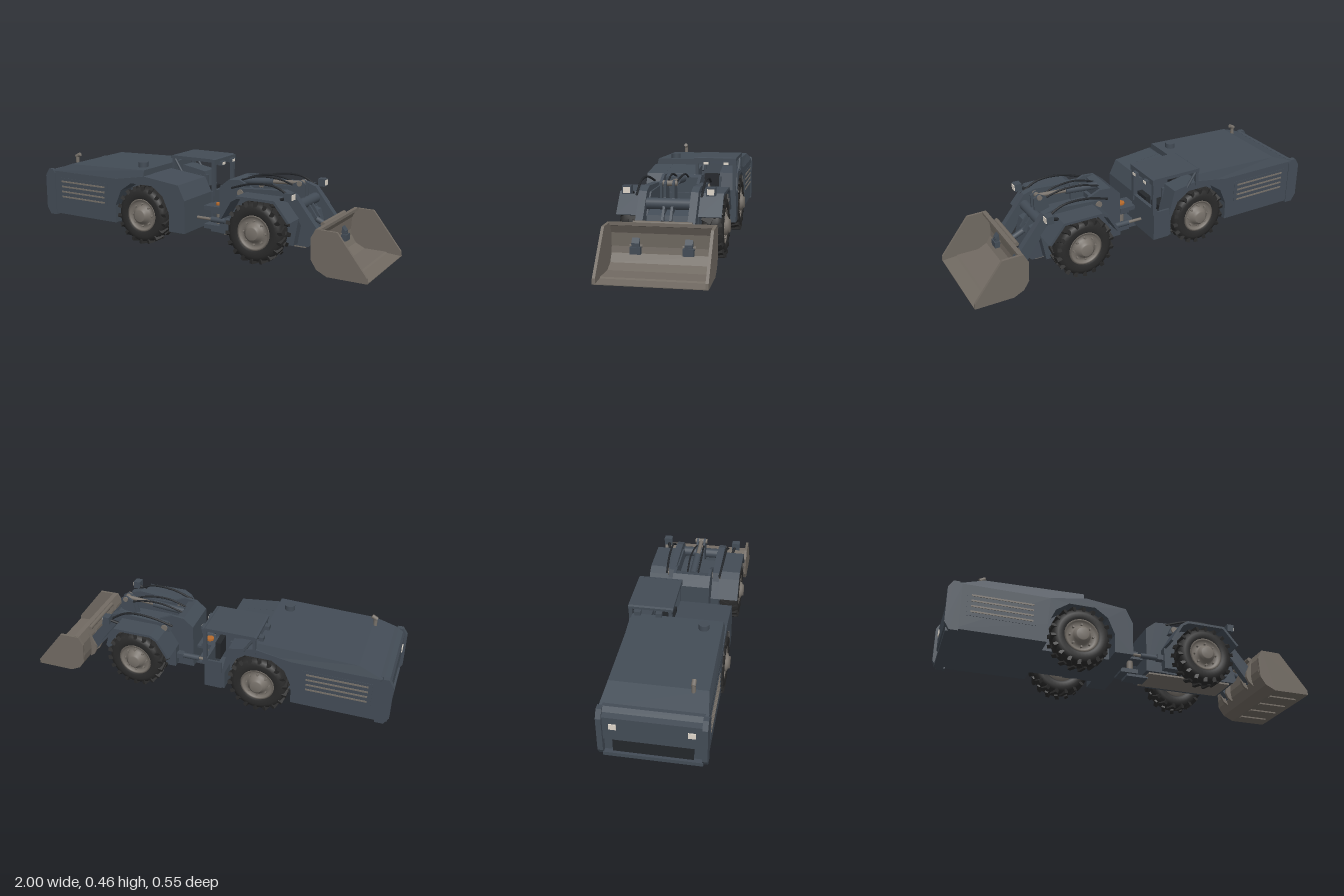
import * as THREE from 'three';

const mat = (color) => new THREE.MeshStandardMaterial({ color, side: THREE.DoubleSide });
const M = {
  body: mat(0x434c56), dark: mat(0x24272b), tire: mat(0x2a2a2a), steel: mat(0x77716a),
  bucket: mat(0x716a62), orange: mat(0xb86b2c), lamp: mat(0xe0d8cc),
};

export function createModel() {
  const root = new THREE.Group();
  const add = (name, geo, m, parent = root) => {
    const mesh = new THREE.Mesh(geo, m);
    mesh.name = name;
    parent.add(mesh);
    return mesh;
  };
  // box given by its limits
  const box = (name, m, x0, x1, y0, y1, z0, z1, parent) => {
    const b = add(name, new THREE.BoxGeometry(x1 - x0, y1 - y0, z1 - z0), m, parent);
    b.position.set((x0 + x1) / 2, (y0 + y1) / 2, (z0 + z1) / 2);
    return b;
  };
  // side profile in x,y extruded from z0 to z1
  const plate = (name, m, pts, z0, z1, parent) => {
    const shape = new THREE.Shape(pts.map(([x, y]) => new THREE.Vector2(x, y)));
    const g = new THREE.ExtrudeGeometry(shape, { depth: z1 - z0, bevelEnabled: false });
    return add(name, g.translate(0, 0, z0), m, parent);
  };
  // round bar between two points
  const bar = (name, m, a, b, r, sides = 14, parent = root) => {
    const A = new THREE.Vector3(...a), B = new THREE.Vector3(...b), d = B.clone().sub(A);
    const c = add(name, new THREE.CylinderGeometry(r, r, d.length(), sides), m, parent);
    c.position.copy(A).add(B).multiplyScalar(0.5);
    c.quaternion.setFromUnitVectors(new THREE.Vector3(0, 1, 0), d.normalize());
    return c;
  };
  const hose = (name, pts, r = 0.005) => add(name, new THREE.TubeGeometry(
    new THREE.CatmullRomCurve3(pts.map((p) => new THREE.Vector3(...p))), 20, r, 6), M.dark);

  // ---- rear body ----
  const arch = [[-0.49, 0.1], [-0.49, 0.2], [-0.45, 0.29], [-0.38, 0.338], [-0.24, 0.338], [-0.17, 0.29], [-0.13, 0.2], [-0.13, 0.1]];
  const tail = [[-0.29, 0.385], [-0.48, 0.352], [-0.95, 0.352]];
  plate('engineSideLeft', M.body, [[-0.95, 0.1], ...arch, [-0.03, 0.1], [-0.03, 0.28], [-0.07, 0.36], ...tail], 0.15, 0.252);
  plate('engineSideRight', M.body, [[-0.95, 0.1], ...arch, [-0.115, 0.1], [-0.115, 0.21], [-0.15, 0.36], ...tail], -0.252, -0.15);
  box('engineCore', M.body, -0.95, -0.3, 0.1, 0.352, -0.15, 0.15);
  plate('frontTank', M.body, [[-0.3, 0.1], [-0.03, 0.1], [-0.03, 0.28], [-0.07, 0.36], [-0.3, 0.385]], -0.025, 0.15);
  // hood: box tapered at the sides and sloped to the rear
  const hood = new THREE.BoxGeometry(1, 1, 1).toNonIndexed();
  const hp = hood.attributes.position;
  for (let i = 0; i < hp.count; i++) {
    const f = hp.getX(i) > 0, t = hp.getY(i) > 0, s = Math.sign(hp.getZ(i));
    hp.setXYZ(i, f ? -0.3 : t ? -0.82 : -0.955, t ? (f ? 0.416 : 0.4) : 0.35, s * (t ? 0.236 : 0.252));
  }
  hood.computeVertexNormals();
  add('hood', hood, M.body);
  // rear end
  plate('rearPanel', M.body, [[-0.93, 0.1], [-0.965, 0.1], [-0.965, 0.17], [-0.985, 0.19], [-0.985, 0.32], [-0.975, 0.345], [-0.95, 0.36], [-0.93, 0.36]], -0.235, 0.235);
  box('rearGrille', M.dark, -0.975, -0.96, 0.11, 0.18, -0.19, 0.19);
  box('rearSill', M.body, -0.99, -0.94, 0.09, 0.11, -0.235, 0.235);
  for (const s of [-1, 1]) {
    const z = (a, b) => [Math.min(s * a, s * b), Math.max(s * a, s * b)];
    plate('rearCornerGuard', M.body, [[-0.93, 0.09], [-0.975, 0.09], [-1, 0.13], [-1, 0.32], [-0.975, 0.36], [-0.945, 0.36], [-0.93, 0.34]], ...z(0.23, 0.256));
    box('rearLamp', M.lamp, -0.99, -0.984, 0.255, 0.285, ...z(0.165, 0.2));
    box('louverPanel', M.body, -0.9, -0.545, 0.18, 0.315, ...z(0.25, 0.254));
    for (let i = 0; i < 4; i++) box('louver', M.steel, -0.88, -0.565, 0.2 + i * 0.03, 0.209 + i * 0.03, ...z(0.25, 0.257));
  }
  // exhaust and air intake
  bar('exhaustPipe', M.steel, [-0.83, 0.39, 0.165], [-0.83, 0.435, 0.165], 0.01);
  bar('exhaustOutlet', M.steel, [-0.838, 0.433, 0.165], [-0.81, 0.448, 0.165], 0.011);
  bar('airIntake', M.body, [-0.37, 0.405, 0.145], [-0.37, 0.442, 0.145], 0.027, 20);

  // ---- operator cab, on the right side ----
  const cab = new THREE.Group();
  cab.name = 'cab';
  root.add(cab);
  box('cabFloor', M.body, -0.3, -0.025, 0.1, 0.135, -0.15, -0.025, cab);
  box('cabStep', M.body, -0.115, -0.025, 0.1, 0.135, -0.258, -0.15, cab);
  box('cabFrontWall', M.body, -0.04, -0.02, 0.1, 0.28, -0.258, -0.025, cab);
  box('cabDoor', M.body, -0.115, -0.02, 0.1, 0.265, -0.258, -0.246, cab);
  box('cabInnerWall', M.body, -0.3, -0.13, 0.1, 0.34, -0.16, -0.148, cab);
  box('seat', M.dark, -0.24, -0.13, 0.135, 0.22, -0.14, -0.045, cab);
  box('seatBack', M.dark, -0.27, -0.235, 0.2, 0.34, -0.135, -0.05, cab);
  box('console', M.dark, -0.07, -0.04, 0.2, 0.3, -0.14, -0.05, cab);
  plate('canopy', M.body, [[-0.3, 0.443], [-0.015, 0.443], [-0.015, 0.456], [-0.025, 0.461], [-0.29, 0.461], [-0.3, 0.456]], -0.258, -0.025, cab);
  box('canopyBeam', M.body, -0.028, -0.01, 0.428, 0.458, -0.258, -0.025, cab);
  for (const z of [-0.248, -0.041]) {
    box('frontPost', M.body, -0.033, -0.013, 0.25, 0.45, z - 0.009, z + 0.009, cab);
    box('rearPost', M.body, -0.296, -0.28, 0.36, 0.45, z - 0.009, z + 0.009, cab);
    bar('brace', M.body, [-0.285, 0.445, z], [-0.23, 0.36, z], 0.007, 8, cab);
  }
  for (const z of [-0.095, -0.205]) {
    box('canopyLampHousing', M.body, -0.02, 0.008, 0.421, 0.443, z - 0.018, z + 0.018, cab);
    box('canopyLamp', M.lamp, 0.007, 0.011, 0.425, 0.439, z - 0.014, z + 0.014, cab);
    box('rearCanopyLamp', M.body, -0.325, -0.3, 0.421, 0.443, z - 0.016, z + 0.016, cab);
  }

  // ---- articulation joint ----
  for (const y of [0.1, 0.205]) {
    box('hingePlate', M.body, -0.03, 0.07, y - 0.012, y + 0.012, -0.055, 0.055);
    box('hingeFork', M.body, 0.01, 0.13, y - 0.028, y - 0.014, -0.045, 0.045);
  }
  bar('hingePin', M.steel, [0.04, 0.085, 0], [0.04, 0.22, 0], 0.018);
  bar('hingeCapTop', M.orange, [0.04, 0.217, 0], [0.04, 0.228, 0], 0.022);
  bar('hingeCapBottom', M.orange, [0.04, 0.074, 0], [0.04, 0.09, 0], 0.022);

  // ---- front frame ----
  plate('frontFrame', M.body, [[0.1, 0.09], [0.62, 0.09], [0.64, 0.11], [0.6, 0.25], [0.52, 0.27], [0.22, 0.27], [0.22, 0.3], [0.1, 0.3]], -0.1, 0.1);
  box('skidPlate', M.steel, 0.12, 0.6, 0.08, 0.09, -0.09, 0.09);
  for (const s of [-1, 1]) plate('towerSide', M.body, [[0.1, 0.09], [0.22, 0.09], [0.3, 0.26], [0.3, 0.36], [0.22, 0.395], [0.155, 0.39], [0.1, 0.345]], s * 0.0975 - 0.0075, s * 0.0975 + 0.0075);
  plate('towerCover', M.body, [[0.1, 0.28], [0.2, 0.28], [0.2, 0.38], [0.155, 0.39], [0.1, 0.345]], -0.09, 0.09);
  for (const s of [-1, 1]) {
    const z = (a, b) => [Math.min(s * a, s * b), Math.max(s * a, s * b)];
    // fender sheet and its inner wall
    const rim = [[0.185, 0.22], [0.245, 0.322], [0.285, 0.347], [0.5, 0.347], [0.585, 0.245]];
    const inner = [[0.573, 0.24], [0.494, 0.334], [0.29, 0.334], [0.256, 0.314], [0.198, 0.215]];
    plate('frontFender', M.body, [...rim, ...inner], ...z(0.148, 0.258));
    plate('fenderWall', M.body, [[0.19, 0.1], ...rim, [0.56, 0.1]], ...z(0.1, 0.15));
    // work lamp on its post
    bar('lampPost', M.dark, [0.5, 0.34, s * 0.19], [0.55, 0.36, s * 0.2], 0.008, 8);
    box('lampHousing', M.body, 0.54, 0.578, 0.345, 0.386, ...z(0.183, 0.227));
    box('lampFace', M.lamp, 0.577, 0.582, 0.351, 0.379, ...z(0.188, 0.222));
    // steering cylinder
    bar('steeringCylinder', M.body, [0.06, 0.165, s * 0.12], [0.19, 0.165, s * 0.12], 0.015);
    bar('steeringRod', M.steel, [-0.04, 0.165, s * 0.12], [0.07, 0.165, s * 0.12], 0.008);
    box('steeringLug', M.body, 0.15, 0.185, 0.15, 0.18, ...z(0.095, 0.14));
    // lift arm with pivots and hoist cylinder
    plate('liftArm', M.body, [[0.22, 0.315], [0.24, 0.36], [0.5, 0.378], [0.56, 0.36], [0.63, 0.27], [0.735, 0.14], [0.735, 0.09], [0.68, 0.1], [0.57, 0.25], [0.5, 0.32]], ...z(0.108, 0.145));
    bar('armPivot', M.steel, [0.25, 0.338, s * 0.09], [0.25, 0.338, s * 0.152], 0.018);
    bar('bucketPin', M.steel, [0.695, 0.122, s * 0.095], [0.695, 0.122, s * 0.158], 0.022);
    bar('hoistCylinder', M.body, [0.3, 0.18, s * 0.125], [0.46, 0.285, s * 0.125], 0.02);
    bar('hoistRod', M.steel, [0.45, 0.28, s * 0.125], [0.55, 0.33, s * 0.125], 0.011);
    hose('armHose', [[0.2, 0.36, s * 0.15], [0.32, 0.395, s * 0.158], [0.46, 0.395, s * 0.16], [0.56, 0.34, s * 0.16]], 0.006);
    hose('tiltHose', [[0.19, 0.38, s * 0.03], [0.3, 0.41, s * 0.032], [0.42, 0.405, s * 0.025], [0.5, 0.38, s * 0.02]]);
    plate('tiltLever', M.body, [[0.47, 0.3], [0.49, 0.39], [0.53, 0.412], [0.56, 0.395], [0.56, 0.33], [0.63, 0.23], [0.6, 0.2], [0.53, 0.28]], ...z(0.014, 0.026));
    // bucket ears
    plate('bucketEar', M.bucket, [[0.71, 0.06], [0.685, 0.08], [0.67, 0.11], [0.675, 0.14], [0.69, 0.17], [0.71, 0.22]], ...z(0.15, 0.165));
    plate('bucketEar', M.bucket, [[0.71, 0.06], [0.685, 0.08], [0.67, 0.11], [0.675, 0.14], [0.69, 0.17], [0.71, 0.22]], ...z(0.088, 0.103));
    box('armEnd', M.body, 0.7, 0.745, 0.088, 0.122, ...z(0.1, 0.152));
    box('armEndCap', M.body, 0.7, 0.738, 0.122, 0.132, ...z(0.11, 0.142));
  }
  bar('armCrossTube', M.body, [0.56, 0.3, -0.11], [0.56, 0.3, 0.11], 0.028, 18);
  bar('tiltCylinder', M.body, [0.19, 0.37, 0], [0.37, 0.385, 0], 0.02);
  bar('tiltRod', M.steel, [0.36, 0.384, 0], [0.53, 0.396, 0], 0.011);
  bar('tiltPin', M.steel, [0.53, 0.396, -0.035], [0.53, 0.396, 0.035], 0.014);
  bar('tiltLink', M.body, [0.61, 0.22, 0], [0.7, 0.18, 0], 0.015);

  // ---- bucket ----
  plate('bucketShell', M.bucket, [[0.995, 0.008], [0.79, 0.008], [0.735, 0.035], [0.705, 0.08], [0.7, 0.12], [0.705, 0.19], [0.725, 0.238], [0.75, 0.241],
    [0.75, 0.226], [0.737, 0.222], [0.718, 0.185], [0.714, 0.12], [0.719, 0.088], [0.745, 0.047], [0.795, 0.022], [0.91, 0.022], [0.92, 0.016], [0.995, 0.011]], -0.25, 0.25);
  for (const s of [-1, 1]) {
    plate('bucketSide', M.bucket, [[0.995, 0.008], [0.79, 0.008], [0.735, 0.035], [0.705, 0.08], [0.7, 0.19], [0.725, 0.238], [0.835, 0.236], [0.992, 0.035]], s * 0.252 - 0.007, s * 0.252 + 0.007);
    for (const z of [0.055, 0.17]) box('wearStrip', M.bucket, 0.8, 0.96, 0, 0.01, s * z - 0.013, s * z + 0.013);
  }
  bar('bucketTopTube', M.bucket, [0.712, 0.232, -0.14], [0.712, 0.232, 0.14], 0.012);

  // ---- wheels ----
  const lathe = (pts, n) => new THREE.LatheGeometry(pts.map(([r, h]) => new THREE.Vector2(r, h)), n).rotateX(Math.PI / 2);
  const tireGeo = lathe([[0.088, -0.045], [0.1, -0.053], [0.125, -0.054], [0.146, -0.046], [0.153, -0.025], [0.153, 0.025], [0.146, 0.046], [0.125, 0.054], [0.1, 0.053], [0.088, 0.045]], 36);
  const rimGeo = lathe([[0, -0.04], [0.09, -0.04], [0.092, 0.048], [0.082, 0.048], [0.076, 0.034], [0.05, 0.036], [0.047, 0.058], [0.034, 0.064], [0.032, 0.072], [0, 0.072]], 30);
  const lugGeo = new THREE.BoxGeometry(0.02, 0.026, 0.052);
  const boltGeo = new THREE.CylinderGeometry(0.006, 0.006, 0.016, 6).rotateX(Math.PI / 2);
  for (const x of [-0.31, 0.385]) for (const s of [-1, 1]) {
    const wheel = new THREE.Group();
    wheel.name = 'wheel';
    wheel.position.set(x, 0.166, s * 0.205);
    if (s < 0) wheel.rotation.y = Math.PI;
    root.add(wheel);
    add('tire', tireGeo, M.tire, wheel);
    add('rim', rimGeo, M.steel, wheel);
    // two staggered rows of slanted tread lugs
    for (let i = 0; i < 36; i++) {
      const a = (i / 36) * Math.PI * 2, side = i % 2 ? 1 : -1;
      const lug = add('treadLug', lugGeo, M.tire, wheel);
      lug.position.set(Math.cos(a) * 0.149, Math.sin(a) * 0.149, side * 0.026);
      lug.rotation.set(0, 0, a - Math.PI / 2);
      lug.rotateY(side * 0.4);
    }
    for (let i = 0; i < 8; i++) {
      const a = (i / 8) * Math.PI * 2;
      add('wheelBolt', boltGeo, M.steel, wheel).position.set(Math.cos(a) * 0.062, Math.sin(a) * 0.062, 0.042);
    }
  }
  for (const x of [-0.31, 0.385]) bar('axle', M.dark, [x, 0.166, -0.2], [x, 0.166, 0.2], 0.035);

  return root;
}
